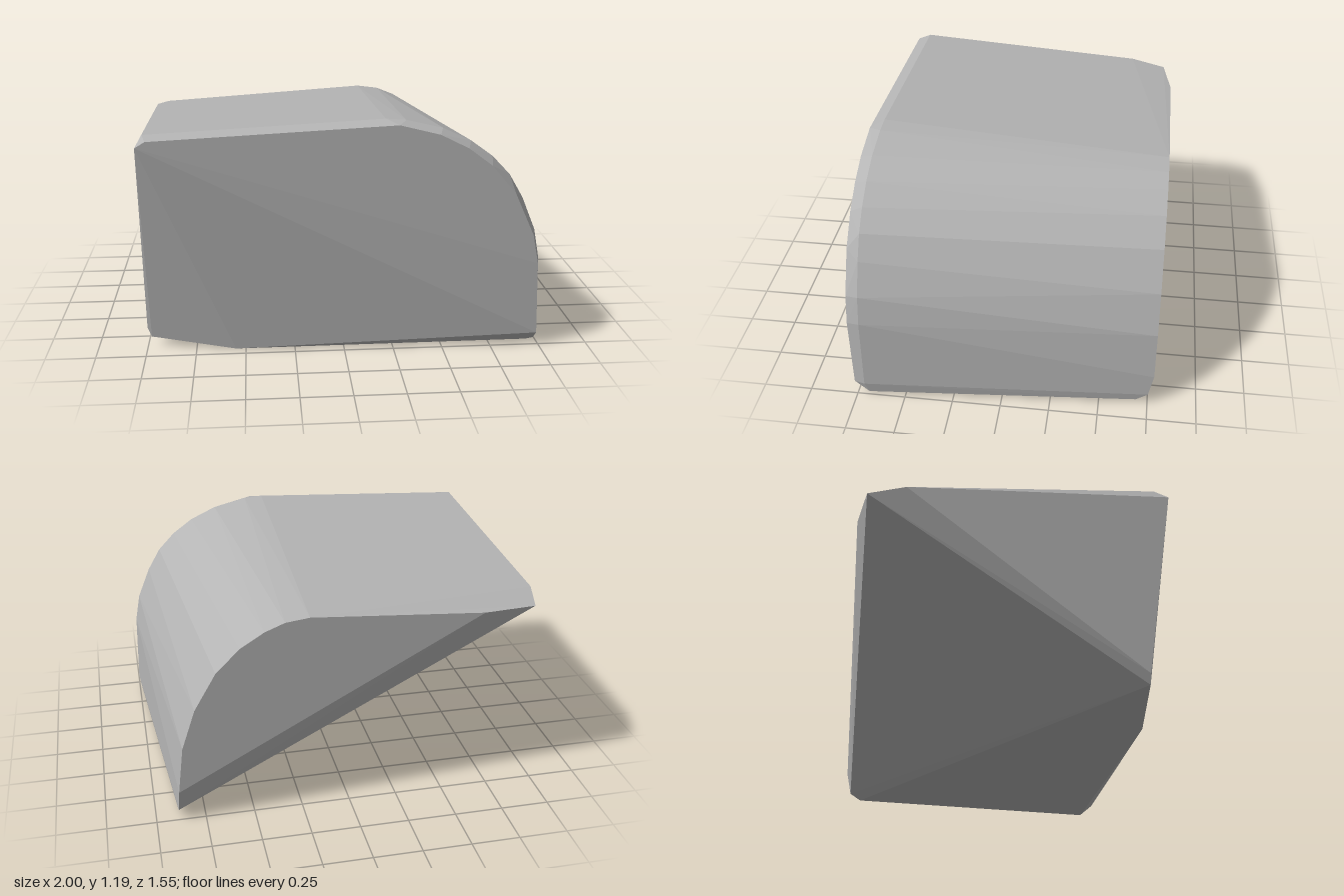
import * as THREE from 'three';
import { ConvexGeometry } from 'three/addons/geometries/ConvexGeometry.js';

// Turns [x, y] outline points into 3D points at one depth.
const atDepth = (z, outline) => outline.map(([x, y]) => new THREE.Vector3(x, y, z));

export function createModel() {
  const group = new THREE.Group();
  group.name = 'roundedBlock';
  const stone = new THREE.MeshStandardMaterial({ color: 0xb4b4b4, flatShading: true });
  stone.name = 'stone grey';

  const points = [
    // front face, inset from the rim
    ...atDepth(0.775, [
      [-1, 1.08], [-0.95, 1.11], [0.26, 1.17], [0.46, 1.12], [0.6, 1.05],
      [0.72, 0.96], [0.84, 0.82], [0.94, 0.6], [0.97, 0.45],
    ]),
    ...atDepth(0.765, [[0.985, 0.07]]),
    // widest rim just behind the front face
    ...atDepth(0.71, [
      [-0.97, 1.13], [0.2, 1.19], [0.3, 1.182], [0.48, 1.14], [0.62, 1.075], [0.73, 0.995],
      [0.82, 0.9], [0.89, 0.78], [0.96, 0.61], [0.988, 0.46], [1, 0.07],
    ]),
    // lower front edge
    ...atDepth(0.69, [[0.99, 0.01], [0.95, 0.003], [-0.55, 0]]),
    ...atDepth(0.62, [[-1, 0.1], [-0.98, 0.05]]),
    // back face, lower and narrower, its lower left corner cut away
    ...atDepth(-0.775, [
      [-0.67, 1.02], [0.21, 1.08], [0.33, 1.065], [0.43, 1.025], [0.55, 0.95], [0.67, 0.83],
      [0.78, 0.64], [0.85, 0.43], [0.88, 0.18],
    ]),
    new THREE.Vector3(-0.95, 1.01, -0.73),
    new THREE.Vector3(-1, 1.03, -0.54),
    new THREE.Vector3(0.885, 0.06, -0.75),
    new THREE.Vector3(0.885, 0.02, -0.69),
  ];

  const block = new THREE.Mesh(new ConvexGeometry(points), stone);
  block.name = 'block';
  group.add(block);
  return group;
}
